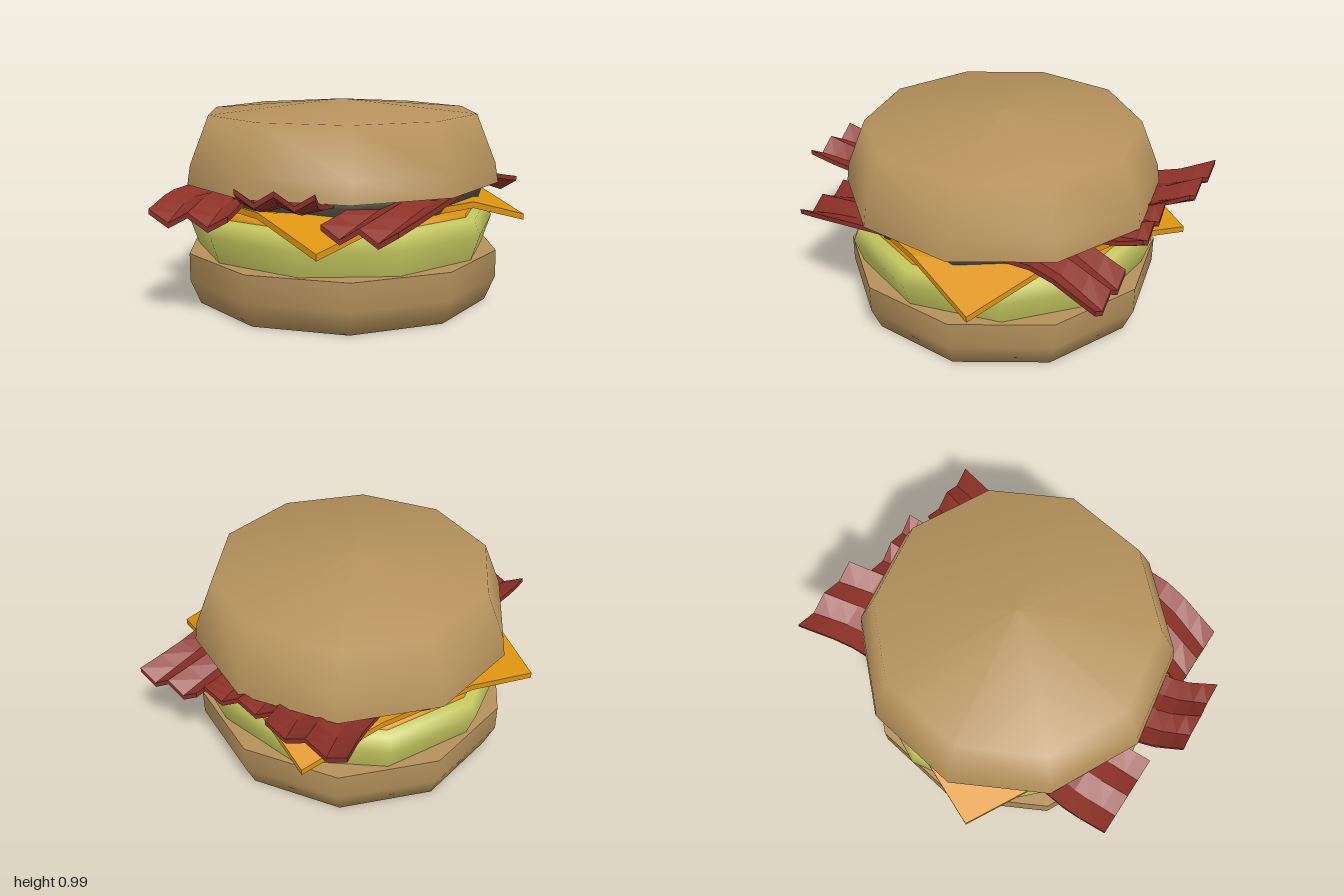
import * as THREE from 'three';

const material = (name, color) => {
  const m = new THREE.MeshStandardMaterial({ color });
  m.name = name;
  return m;
};

export function createModel() {
  const burger = new THREE.Group();
  burger.name = 'burger';
  const bun = material('bun brown', 0xb5915c);
  const lettuce = material('lettuce green', 0xc2c45e);
  const cheese = material('cheese orange', 0xdb930f);
  const patty = material('patty dark', 0x47453a);
  const bacon = material('bacon red', 0x8c3127);

  const add = (name, geometry, mat) => {
    const mesh = new THREE.Mesh(geometry, mat);
    mesh.name = name;
    burger.add(mesh);
    return mesh;
  };
  const faceted = (geometry) => {
    const g = geometry.index ? geometry.toNonIndexed() : geometry;
    g.computeVertexNormals();
    return g;
  };
  // Ten-sided turned part; profile runs from bottom to top as [radius, y]
  const turned = (name, profile, mat, angle = 0) => {
    const points = profile.map(([r, y]) => new THREE.Vector2(r, y));
    add(name, new THREE.LatheGeometry(points, 10), mat).rotation.y = angle;
  };

  // Buns: smooth outside, separate flat cut faces for a crisp rim
  const turn = Math.PI / 10;
  turned('bottomBun', [[0, 0], [0.74, 0], [0.79, 0.12], [0.79, 0.255]], bun, turn);
  turned('bottomBunCut', [[0.79, 0.255], [0, 0.255]], bun, turn);
  turned('topBun', [[0.79, 0.595], [0.775, 0.69], [0.68, 0.925], [0, 0.985]], bun, turn);
  turned('topBunCut', [[0, 0.595], [0.79, 0.595]], bun, turn);

  // Fillings
  turned('lettuce', [[0.73, 0.25], [0.775, 0.38], [0.745, 0.45], [0.66, 0.465]], lettuce);
  turned('lowerCheese', [[0.7, 0.44], [0.7, 0.475], [0.66, 0.5], [0, 0.5]], cheese);
  turned('patty', [[0.69, 0.5], [0.71, 0.56], [0.7, 0.594]], patty, turn);

  // Cheese slice: flat octagon with four corners folded down
  const top = [];
  const polar = (r, a, y) => new THREE.Vector3(r * Math.cos(a), y, r * Math.sin(a));
  for (let k = 0; k < 4; k++) {
    const a = -0.152 + k * Math.PI / 2;
    top.push(polar(0.725, a - 0.426, 0.53), polar(0.92, a, 0.415), polar(0.725, a + 0.426, 0.53));
  }
  const lower = (p) => p.clone().setY(p.y - 0.03);
  const corners = [];
  const tri = (a, b, c) => corners.push(a, b, c);
  const slab = (a, b, c) => {
    tri(a, b, c);
    tri(lower(c), lower(b), lower(a));
  };
  const middle = new THREE.Vector3(0, 0.53, 0);
  for (let i = 0; i < 12; i += 3) {
    const [a, tip, b, next] = [top[i], top[i + 1], top[i + 2], top[(i + 3) % 12]];
    slab(b, tip, a);
    slab(middle, b, a);
    slab(middle, next, b);
  }
  top.forEach((p, i) => {
    const q = top[(i + 1) % 12];
    tri(p, q, lower(q));
    tri(p, lower(q), lower(p));
  });
  add('cheeseSlice', faceted(new THREE.BufferGeometry().setFromPoints(corners)), cheese);

  // Bacon: pleated strips that follow a path from front to back
  const strips = [
    { across: [0.41, 0.068], path: [[-0.485, 0.495, 0.805], [-0.465, 0.56, 0.58], [-0.32, 0.565, 0.1],
      [-0.165, 0.565, -0.7], [-0.195, 0.64, -0.97]] },
    { across: [0.365, 0.036], path: [[-0.02, 0.645, 0.975], [-0.05, 0.575, 0.77], [0.08, 0.56, 0.1],
      [0.205, 0.565, -0.65], [0.215, 0.59, -0.81]] },
    { across: [0.345, 0.057], path: [[0.31, 0.485, 0.865], [0.44, 0.565, 0.55], [0.49, 0.565, 0.1],
      [0.51, 0.555, -0.38], [0.655, 0.475, -0.71]] },
  ];
  strips.forEach(({ across, path }, i) => {
    const curve = new THREE.CatmullRomCurve3(path.map((p) => new THREE.Vector3(...p)));
    const geometry = new THREE.BoxGeometry(1, 0.025, 1, 4, 1, 12);
    const pos = geometry.attributes.position;
    for (let v = 0; v < pos.count; v++) {
      const u = pos.getX(v);
      const t = 0.5 - pos.getZ(v);
      const p = curve.getPoint(t);
      const pleat = Math.round((u + 0.5) * 4) % 2 ? -1 : 1;
      const depth = 0.012 + 0.016 * Math.abs(2 * t - 1) ** 3;
      pos.setXYZ(v, p.x + u * across[0], p.y + pos.getY(v) + pleat * depth, p.z + u * across[1]);
    }
    add(`baconStrip${i + 1}`, faceted(geometry), bacon);
  });

  return burger;
}
